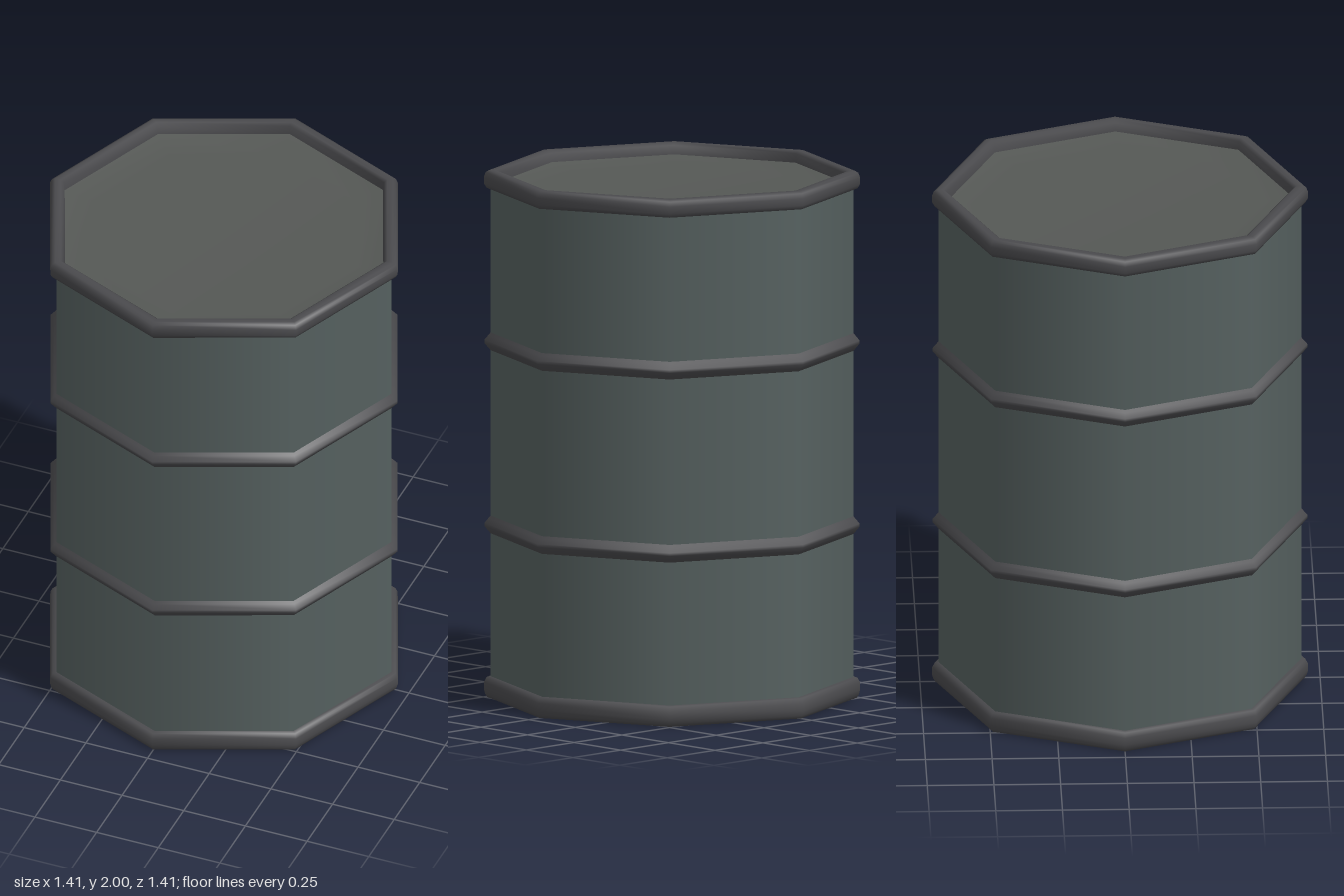
import * as THREE from 'three';

const SIDES = 8;

// Eight-sided surface of revolution from [radius, y] pairs
function turned(name, profile, material) {
  const points = profile.map(([r, y]) => new THREE.Vector2(r, y));
  const mesh = new THREE.Mesh(new THREE.LatheGeometry(points, SIDES), material);
  mesh.name = name;
  return mesh;
}

export function createModel() {
  const group = new THREE.Group();
  group.name = 'barrel';
  const paint = new THREE.MeshStandardMaterial({ color: 0x566160 });
  const rimMetal = new THREE.MeshStandardMaterial({ color: 0x4a4a4d });
  const lidMetal = new THREE.MeshStandardMaterial({ color: 0x555855 });
  const baseMetal = new THREE.MeshStandardMaterial({ color: 0x566160 });

  // Straight wall
  group.add(turned('body', [[0.68, 0.02], [0.68, 1.96]], paint));

  // Two raised hoops around the wall
  for (const [name, y] of [['lowerHoop', 0.655], ['upperHoop', 1.35]]) {
    group.add(turned(name, [
      [0.678, y - 0.036], [0.688, y - 0.024], [0.703, y - 0.006],
      [0.703, y + 0.006], [0.688, y + 0.024], [0.678, y + 0.036],
    ], rimMetal));
  }

  // Rolled rim at the top, folding inward to the lid
  group.add(turned('topRim', [
    [0.676, 1.93], [0.695, 1.933], [0.704, 1.948], [0.705, 1.975],
    [0.698, 1.993], [0.685, 2], [0.662, 2], [0.649, 1.99], [0.645, 1.95],
  ], rimMetal));

  // Rolled rim at the bottom
  group.add(turned('bottomRim', [
    [0.662, 0.015], [0.665, 0], [0.692, 0], [0.7, 0.012], [0.705, 0.03],
    [0.704, 0.058], [0.695, 0.076], [0.676, 0.08],
  ], rimMetal));

  // Sunken lid with a sloping border
  group.add(turned('lid', [[0.65, 1.957], [0.53, 1.935], [0, 1.935]], lidMetal));

  // Slightly recessed underside
  group.add(turned('base', [[0, 0.014], [0.668, 0.014]], baseMetal));

  return group;
}
